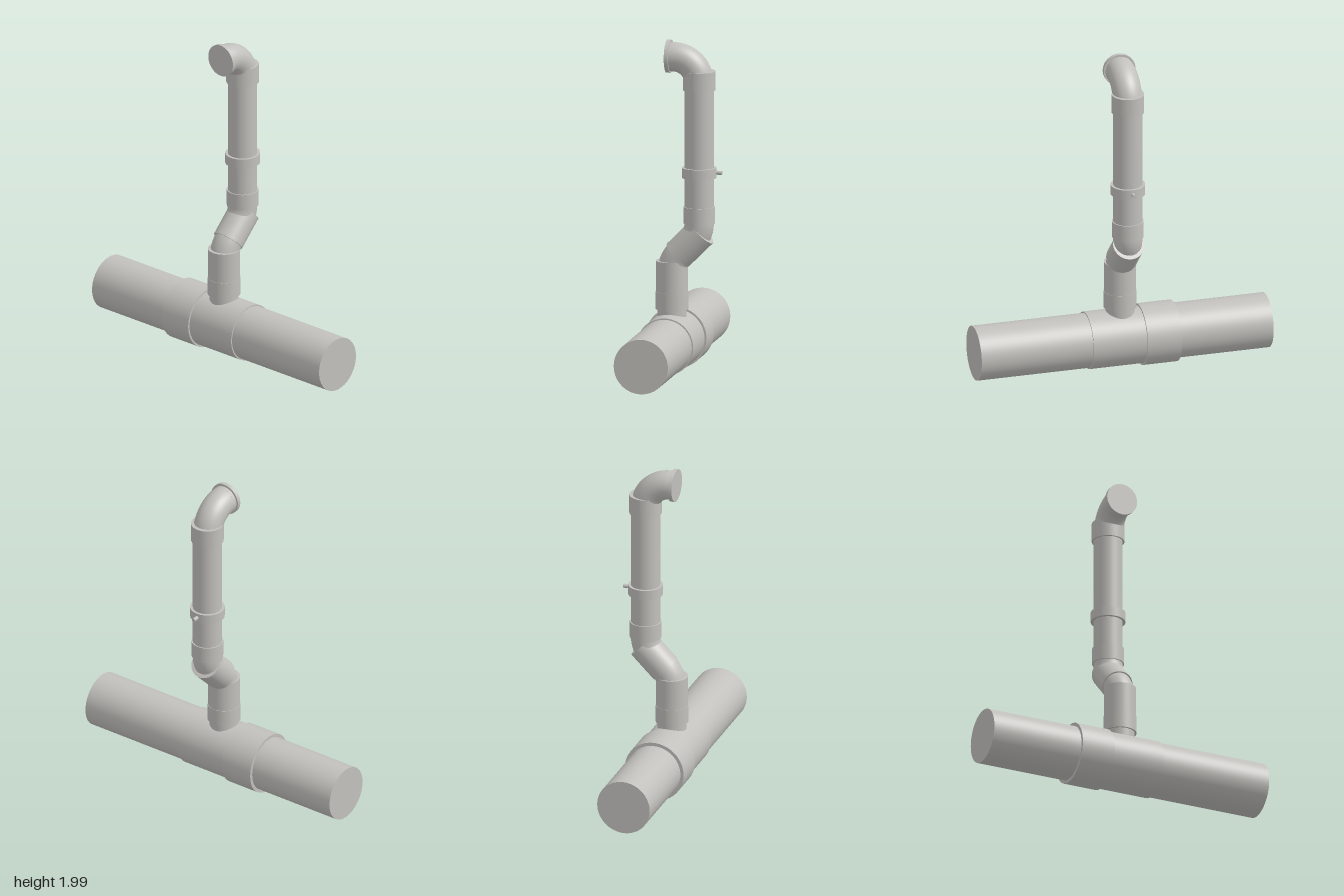
import * as THREE from 'three';

export function createModel() {
  const group = new THREE.Group();
  const grey = new THREE.MeshStandardMaterial({ color: 0xc1c0bc });
  grey.name = 'pipe grey';

  const add = (name, geometry) => {
    const mesh = new THREE.Mesh(geometry, grey);
    mesh.name = name;
    group.add(mesh);
    return mesh;
  };

  // Closed cylinder between two [x, y, z] points
  const up = new THREE.Vector3(0, 1, 0);
  const pipe = (name, radius, from, to, sides = 48) => {
    const a = new THREE.Vector3(...from);
    const b = new THREE.Vector3(...to);
    const axis = b.clone().sub(a);
    const mesh = add(name, new THREE.CylinderGeometry(radius, radius, axis.length(), sides));
    mesh.position.copy(a).add(b).multiplyScalar(0.5);
    mesh.quaternion.setFromUnitVectors(up, axis.normalize());
    return mesh;
  };

  // Bend in the side plane; angles run from +z towards +y
  const rad = THREE.MathUtils.degToRad;
  const elbow = (name, bend, y, z, start, sweep) => {
    const g = new THREE.TorusGeometry(bend, 0.087, 48, 24, rad(sweep));
    g.rotateZ(rad(start)).rotateY(-Math.PI / 2);
    add(name, g).position.set(0, y, z);
  };

  // Horizontal main with its tee fitting
  const my = 0.19, mz = 0.06;
  const main = (name, r, x0, x1) => pipe(name, r, [x0, my, mz], [x1, my, mz], 64);
  main('mainPipe', 0.164, -0.9, 0.9);
  main('teeBody', 0.172, -0.125, 0.21);
  main('teeSocket', 0.184, -0.33, -0.12);

  // Branch rising from the tee
  pipe('branchNeck', 0.087, [0, 0.2, mz], [0, 0.62, mz]);
  pipe('branchSocket', 0.098, [0, 0.385, mz], [0, 0.49, mz]);
  pipe('lowerElbowSocket', 0.096, [0, 0.48, mz], [0, 0.675, mz]);

  // Offset made from two 45 degree bends
  elbow('lowerElbow', 0.176, 0.6, mz - 0.176, 0, 45);
  pipe('offsetPipe', 0.087, [0, 0.722, 0.011], [0, 0.79, -0.057]);
  pipe('offsetSocket', 0.094, [0, 0.71, 0.023], [0, 0.854, -0.121]);
  elbow('upperElbow', 0.17, 0.908, 0.065, 180, 45);

  // Vertical riser with collars
  const rz = -0.105;
  const riser = (name, r, y0, y1) => pipe(name, r, [0, y0, rz], [0, y1, rz]);
  riser('riserPipe', 0.087, 0.905, 1.75);
  riser('riserSocket', 0.094, 0.905, 1.005);
  riser('clampRing', 0.103, 1.18, 1.24);
  pipe('clampStud', 0.012, [0, 1.212, -0.2], [0, 1.212, -0.243], 20);
  riser('topElbowSocket', 0.097, 1.705, 1.82);

  // Forward-facing outlet
  elbow('outletElbow', 0.155, 1.745, 0.05, 90, 90);
  pipe('outletNeck', 0.087, [0, 1.9, 0.045], [0, 1.9, 0.075]);
  pipe('outletFlange', 0.098, [0, 1.902, 0.066], [0, 1.902, 0.09]);

  return group;
}
